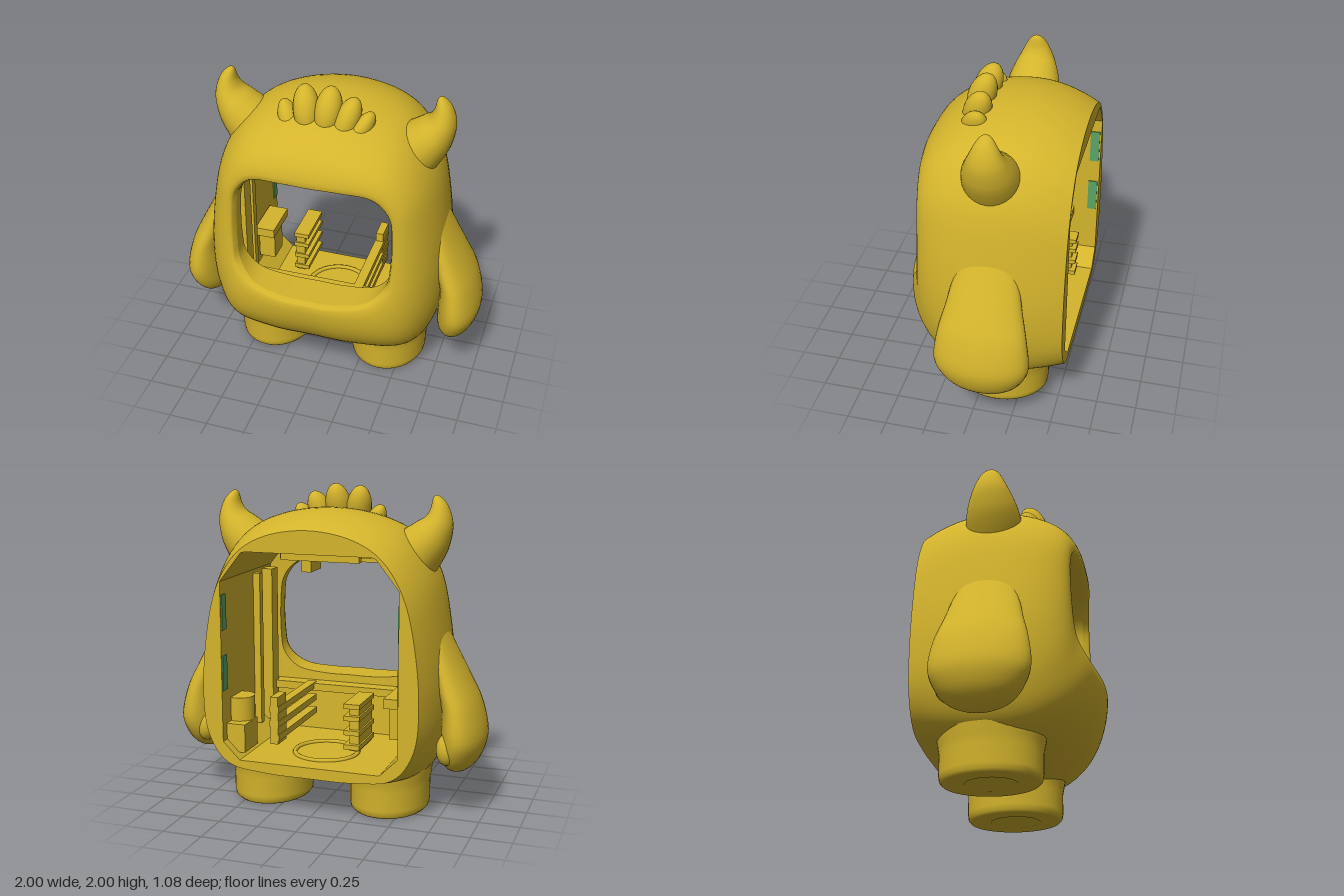
import * as THREE from 'three';
import { toCreasedNormals } from 'three/addons/utils/BufferGeometryUtils.js';

const gold = new THREE.MeshStandardMaterial({ color: 0xd4b42c });
gold.name = 'gold';
const green = new THREE.MeshStandardMaterial({ color: 0x5ca466 });
green.name = 'green';

// Skin over closed loops of points; all loops have the same length
function loft(rows) {
  const n = rows[0].length, pos = [], idx = [];
  rows.forEach(r => r.forEach(p => pos.push(p.x, p.y, p.z)));
  for (let i = 0; i < rows.length - 1; i++) {
    for (let j = 0; j < n; j++) {
      const k = (j + 1) % n;
      const a = i * n + j, b = i * n + k, c = a + n, d = b + n;
      idx.push(a, b, c, b, d, c);
    }
  }
  const g = new THREE.BufferGeometry();
  g.setAttribute('position', new THREE.Float32BufferAttribute(pos, 3));
  g.setIndex(idx);
  g.computeVertexNormals();
  return g;
}

// Copy flipped to the other side, with face order corrected
function mirrored(geo) {
  const g = geo.clone().scale(-1, 1, 1);
  const ix = g.index.array;
  for (let i = 0; i < ix.length; i += 3) [ix[i], ix[i + 1]] = [ix[i + 1], ix[i]];
  g.computeVertexNormals();
  return g;
}

// Half outline (top centre, down the +x side, bottom centre) to a smooth full loop
function outline(half, zs) {
  const pts = half.map(([x, y], i) => new THREE.Vector3(x, y, zs[i]));
  const back = pts.slice(1, -1).reverse().map(p => new THREE.Vector3(-p.x, p.y, p.z));
  const curve = new THREE.CatmullRomCurve3([...pts, ...back], true, 'catmullrom', 0.5);
  return Array.from({ length: 144 }, (_, i) => curve.getPoint(i / 144));
}

const BACK = -0.54;
const windowLip = outline(
  [[0, 1.51], [0.18, 1.51], [0.38, 1.485], [0.49, 1.37], [0.515, 1.2], [0.515, 0.98], [0.49, 0.835], [0.38, 0.73], [0.18, 0.7], [0, 0.7]],
  [0.435, 0.43, 0.405, 0.39, 0.39, 0.4, 0.42, 0.48, 0.525, 0.535]);
const widest = outline(
  [[0, 1.87], [0.29, 1.83], [0.51, 1.72], [0.66, 1.5], [0.73, 1.2], [0.77, 0.8], [0.735, 0.46], [0.61, 0.24], [0.32, 0.205], [0, 0.21]],
  [-0.14, -0.14, -0.12, -0.09, -0.06, -0.05, -0.03, -0.02, 0, 0]);
const backRim = outline(
  [[0, 1.77], [0.26, 1.73], [0.45, 1.62], [0.58, 1.42], [0.65, 1.15], [0.685, 0.8], [0.66, 0.5], [0.53, 0.31], [0.29, 0.265], [0, 0.26]],
  Array(10).fill(BACK));

// Box cavity with cut corners, reached along a ray from (0, 1)
function cavityPoint(p, z) {
  const dx = Math.abs(p.x), dy = p.y - 1;
  const sides = [[1, 0, 0.56], [0, 1, 0.63], [0, -1, 0.67], [0.19, 0.15, 0.173], [1, -1, 1.12]];
  const k = Math.min(...sides.map(([a, b, d]) => d / Math.max(a * dx + b * dy, 1e-6)));
  return new THREE.Vector3(p.x * k, 1 + dy * k, z);
}

function buildBody(add) {
  const rows = [];
  // Rounded lip, turning out of the opening
  const lipEdge = windowLip.map(p => new THREE.Vector3(p.x * 0.955, 1.105 + (p.y - 1.105) * 0.955, p.z - 0.045));
  rows.push(lipEdge);
  rows.push(windowLip.map((p, i) => p.clone().lerp(lipEdge[i], 0.5).setZ(p.z - 0.012)));
  // Quarter-ellipse bulge from the window to the widest section
  for (let k = 0; k <= 16; k++) {
    const u = k / 16 * Math.PI / 2, s = Math.sin(u), c = Math.cos(u);
    rows.push(windowLip.map((w, i) => {
      const q = widest[i];
      return new THREE.Vector3(w.x + (q.x - w.x) * s, w.y + (q.y - w.y) * s, q.z + (w.z - q.z) * c);
    }));
  }
  // Gentle taper to the open back
  for (let k = 1; k <= 8; k++) {
    const v = k / 8;
    rows.push(widest.map((q, i) => {
      const b = backRim[i];
      return new THREE.Vector3(q.x + (b.x - q.x) * v * v, q.y + (b.y - q.y) * v * v, q.z + (BACK - q.z) * v);
    }));
  }
  add('bodyShell', loft(rows));

  // Flat back rim, cavity and window tunnel
  const inside = z => backRim.map(p => cavityPoint(p, z));
  const tunnel = lipEdge.map(p => p.clone().setZ(0.27));
  add('bodyInside', toCreasedNormals(loft([backRim, inside(BACK), inside(0.26), tunnel, lipEdge]), 0.5));
}

// Drooping arm: [y, centre x, radius x, radius z]
function armGeometry() {
  const keys = [[1.19, 0.68, 0.03, 0.14], [1.0, 0.73, 0.078, 0.2], [0.85, 0.785, 0.102, 0.235], [0.7, 0.842, 0.115, 0.272],
    [0.52, 0.865, 0.135, 0.292], [0.4, 0.852, 0.126, 0.25], [0.32, 0.838, 0.09, 0.18], [0.28, 0.83, 0.042, 0.085], [0.272, 0.83, 0.001, 0.001]];
  const centre = new THREE.CatmullRomCurve3(keys.map(k => new THREE.Vector3(k[1], k[0], 0)));
  const radii = new THREE.CatmullRomCurve3(keys.map(k => new THREE.Vector3(k[2], k[3], 0)));
  centre.curveType = radii.curveType = 'catmullrom';
  return loft(Array.from({ length: 33 }, (_, i) => {
    const c = centre.getPoint(i / 32), r = radii.getPoint(i / 32);
    return Array.from({ length: 32 }, (_, j) => {
      const a = j / 32 * Math.PI * 2;
      return new THREE.Vector3(c.x + r.x * Math.cos(a), c.y, -0.085 + r.y * Math.sin(a));
    });
  }));
}

// Curved horn: blunt-tipped sections along a bent path
function hornGeometry() {
  const path = new THREE.CatmullRomCurve3([[0.53, 1.6], [0.615, 1.7], [0.665, 1.79], [0.673, 1.87], [0.65, 1.955]]
    .map(([x, y]) => new THREE.Vector3(x, y, -0.075)));
  const radius = new THREE.SplineCurve([0.165, 0.135, 0.095, 0.06, 0.032].map((r, i) => new THREE.Vector2(i, r)));
  return loft(Array.from({ length: 25 }, (_, i) => {
    const t = Math.sin(i / 24 * Math.PI / 2), c = path.getPoint(t), d = path.getTangent(t);
    const r = radius.getPoint(t).y * Math.sqrt(1.0001 - t ** 14);
    return Array.from({ length: 28 }, (_, j) => {
      const a = -j / 28 * Math.PI * 2, s = r * Math.cos(a);
      return new THREE.Vector3(c.x + d.y * s, c.y - d.x * s, c.z + r * (1.07 + 0.35 * t) * Math.sin(a));
    });
  }));
}

export function createModel() {
  const model = new THREE.Group();
  const add = (name, geo, mat = gold) => {
    const m = new THREE.Mesh(geo, mat);
    m.name = name;
    model.add(m);
    return m;
  };
  const box = (name, x, y, z, w, h, d, mat) =>
    add(name, new THREE.BoxGeometry(w, h, d).translate(x, y, z), mat);

  buildBody(add);

  // Arms and horns
  const arm = armGeometry(), horn = hornGeometry();
  add('leftArm', arm);
  add('rightArm', mirrored(arm));
  add('leftHorn', horn);
  add('rightHorn', mirrored(horn));

  // Squat legs with thumbs above
  const legProfile = [[0, 0.008], [0.5, 0.008], [0.51, 0], [0.93, 0], [0.98, 0.015], [1, 0.05], [1, 0.17], [1.03, 0.22], [1.07, 0.29]]
    .map(([r, y]) => new THREE.Vector2(r, y));
  for (const s of [1, -1]) {
    const side = s > 0 ? 'left' : 'right';
    add(side + 'Leg', new THREE.LatheGeometry(legProfile, 40).scale(0.25, 1, 0.305).translate(s * 0.395, 0, -0.105));
    add(side + 'Thumb', new THREE.SphereGeometry(1, 20, 14).scale(0.065, 0.1, 0.075).translate(s * 0.795, 0.45, -0.275));
  }

  // Hair tufts: [x, top y, half width, lean]
  const tufts = [[-0.21, 1.885, 0.065, 0.6], [-0.11, 1.992, 0.08, 0.25], [0.025, 2.0, 0.082, -0.1], [0.14, 1.953, 0.075, -0.4], [0.215, 1.885, 0.062, -0.7]];
  for (const [x, top, w, lean] of tufts) {
    const t = add('hairTuft', new THREE.SphereGeometry(1, 20, 14).scale(w, 0.15, 0.085));
    t.position.set(x, top - 0.143, 0.11);
    t.rotation.set(-0.35, 0, lean * 0.7);
  }

  // Slotted holders: a long rack of rails and a short toothed block
  box('rackEnd', 0.25, 0.58, -0.39, 0.05, 0.3, 0.14);
  for (const y of [0.47, 0.56, 0.65]) box('rackRail', 0.25, y, -0.12, 0.06, 0.04, 0.68);
  box('toothedBlock', -0.26, 0.58, -0.3, 0.06, 0.3, 0.26);
  for (const y of [0.46, 0.55, 0.64, 0.715]) box('blockTooth', -0.25, y, -0.31, 0.1, 0.03, 0.3);

  // Window frame
  for (const s of [1, -1]) {
    box('framePost', s * 0.525, 0.92, 0.16, 0.07, 1.02, 0.1);
    box('wallRib', s * 0.54, 0.92, -0.01, 0.05, 1.0, 0.05);
  }
  box('frameHeader', 0, 1.55, 0.16, 0.86, 0.09, 0.1);
  box('frontShelf', 0, 0.64, 0.22, 1.1, 0.05, 0.1);

  // Left side: block and rounded boss; right side: shelf on a post
  box('cornerBlock', 0.5, 0.45, -0.38, 0.12, 0.18, 0.2);
  add('wallBoss', new THREE.CylinderGeometry(0.09, 0.09, 0.3, 24).translate(0.53, 0.54, -0.33));
  box('shelfTop', -0.49, 0.73, -0.24, 0.13, 0.06, 0.28);
  box('shelfPost', -0.5, 0.6, -0.24, 0.11, 0.22, 0.15);

  // Green wall plates near the open back
  for (const s of [1, -1])
    for (const y of [1.25, 0.87]) box('wallPlate', s * 0.557, y, -0.5, 0.008, 0.22, 0.06, green);

  // Ceiling fittings
  for (const z of [-0.3, -0.08]) box('ceilingBeam', 0, 1.6, z, 0.5, 0.08, 0.05);
  box('ceilingBlock', 0.1, 1.56, -0.19, 0.06, 0.15, 0.18);

  // Raised ring on the floor
  add('floorRing', new THREE.TorusGeometry(0.2, 0.015, 8, 40).rotateX(Math.PI / 2).translate(0, 0.333, -0.2));

  return model;
}
